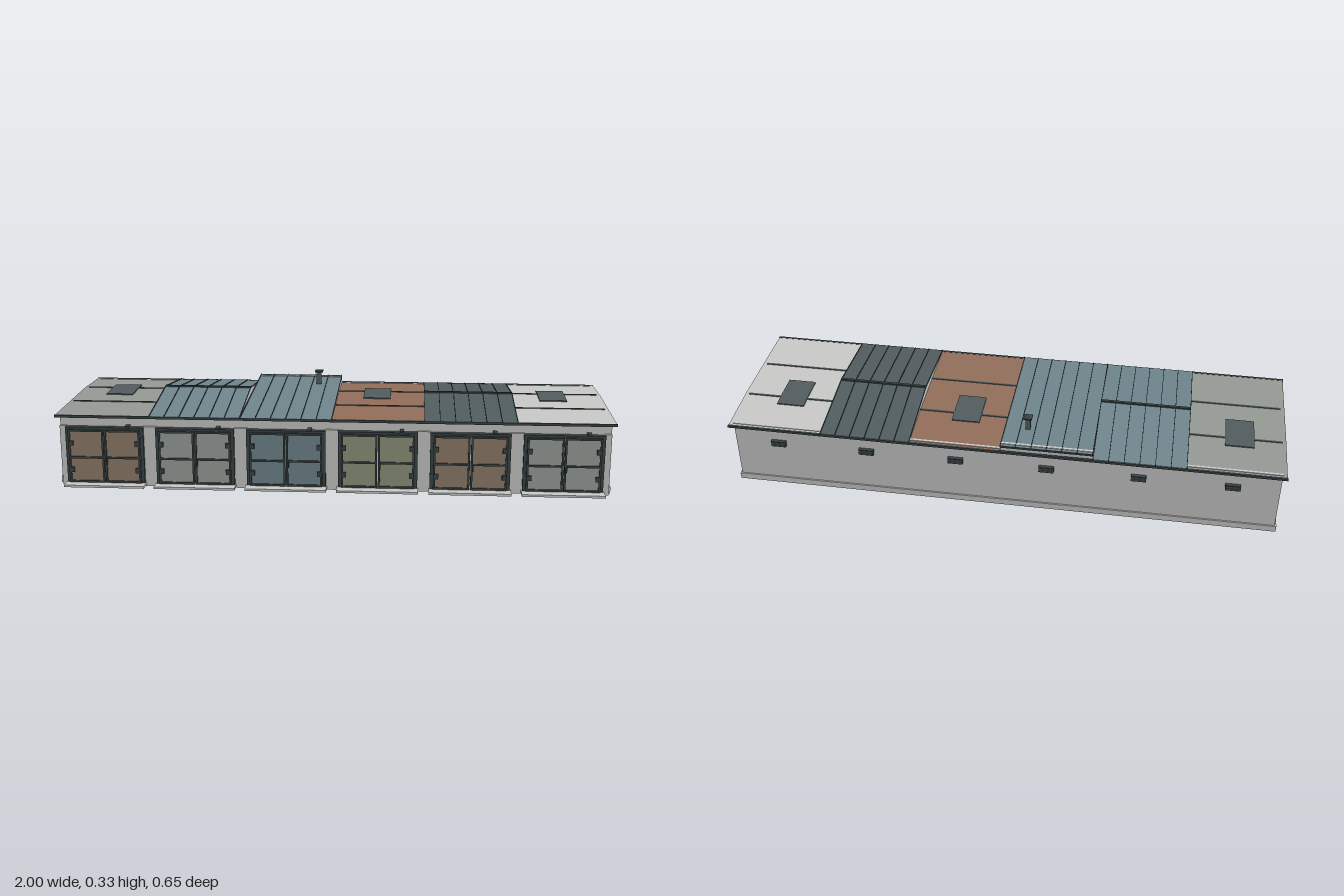
import * as THREE from 'three';

const mat = (name, color) => {
  const m = new THREE.MeshStandardMaterial({ color });
  m.name = name;
  return m;
};

export function createModel() {
  const M = {
    wall: mat('pale concrete', 0xc9c9c8),
    dark: mat('dark trim', 0x3a4446),
    slate: mat('slate metal', 0x525d5f),
    grey: mat('grey sheet', 0x959a95),
    blue: mat('blue sheet', 0x70868d),
    rust: mat('rust sheet', 0x936e5b),
    brown: mat('brown door paint', 0x917c6c),
    pale: mat('grey door paint', 0x9ba09b),
    green: mat('green door paint', 0x8e957c),
  };
  const root = new THREE.Group();
  root.name = 'garageRow';

  const add = (parent, name, geo, material) => {
    const m = new THREE.Mesh(geo, material);
    m.name = name;
    parent.add(m);
    return m;
  };
  // box given by its limits on each axis
  const box = (parent, name, material, x0, x1, y0, y1, z0, z1) => {
    const g = new THREE.BoxGeometry(x1 - x0, y1 - y0, z1 - z0);
    g.translate((x0 + x1) / 2, (y0 + y1) / 2, (z0 + z1) / 2);
    return add(parent, name, g, material);
  };
  // outline of [z, y] points swept along x
  const sweep = (parent, name, material, pts, x0, x1) => {
    const s = new THREE.Shape(pts.map(([z, y]) => new THREE.Vector2(-z, y)));
    const g = new THREE.ExtrudeGeometry(s, { depth: x1 - x0, bevelEnabled: false });
    g.rotateY(Math.PI / 2);
    g.translate(x0, 0, 0);
    return add(parent, name, g, material);
  };
  // sheet following a roof line, between two offsets from it
  const sheet = (parent, name, material, line, x0, x1, low, high) =>
    sweep(parent, name, material, [
      ...line.map(([z, y]) => [z, y + high]),
      ...[...line].reverse().map(([z, y]) => [z, y + low]),
    ], x0, x1);
  // height of a roof line at z
  const heightAt = (line, z) => {
    for (let i = 1; i < line.length; i++) {
      const [za, ya] = line[i - 1], [zb, yb] = line[i];
      if (z <= za && z >= zb) return ya + (yb - ya) * (za - z) / (za - zb);
    }
    return line[0][1];
  };

  const PITCH = 0.328, HALF = 0.984, FRONT = 0.262, BACK = -0.303;

  // main body
  box(root, 'body', M.wall, -HALF, HALF, 0.005, 0.25, BACK, FRONT);
  box(root, 'plinth', M.wall, -0.99, 0.99, 0.006, 0.03, -0.308, 0.267);
  box(root, 'frontEave', M.dark, -1, 1, 0.254, 0.263, 0.273, 0.282);
  box(root, 'backEave', M.dark, -1, 1, 0.254, 0.263, -0.325, -0.317);

  // pilasters between the doors
  for (let i = 0; i <= 6; i++) {
    const x = -HALF + i * PITCH;
    const a = Math.max(x - 0.024, -HALF), b = Math.min(x + 0.024, HALF);
    box(root, 'pilaster', M.wall, a, b, 0, 0.223, FRONT, 0.273);
  }

  // roof lines, front to back
  const flat = [[0.28, 0.262], [-0.12, 0.269], [-0.322, 0.262]];
  const gable = (ridge) => [[0.28, 0.263], [-0.022, ridge], [-0.322, 0.262]];
  const shed = [[0.28, 0.263], [-0.322, 0.287]];

  const bays = [
    { door: M.brown, roof: M.grey, line: flat, kind: 'flat' },
    { door: M.pale, roof: M.blue, line: gable(0.303), kind: 'gable' },
    { door: M.blue, roof: M.blue, line: shed, kind: 'shed' },
    { door: M.green, roof: M.rust, line: flat, kind: 'flat' },
    { door: M.brown, roof: M.slate, line: gable(0.295), kind: 'gable' },
    { door: M.pale, roof: M.wall, line: flat, kind: 'flat' },
  ];

  const buildDoor = (paint) => {
    const g = new THREE.Group();
    g.name = 'door';
    box(g, 'apron', M.wall, -0.146, 0.146, 0.006, 0.014, 0.26, 0.325);
    // fixed frame
    for (const s of [-1, 1]) {
      const jamb = box(g, 'jamb', M.dark, -0.006, 0.006, 0.014, 0.219, 0.262, 0.283);
      jamb.position.x = s * 0.136;
    }
    box(g, 'lintel', M.dark, -0.142, 0.142, 0.211, 0.22, 0.262, 0.283);
    // two leaves with rails, hinges and handle
    for (const s of [-1, 1]) {
      const leaf = new THREE.Group();
      leaf.name = 'leaf';
      leaf.position.x = s * 0.066;
      g.add(leaf);
      box(leaf, 'panel', paint, -0.064, 0.064, 0.016, 0.212, 0.274, 0.289);
      for (const y of [0.016, 0.106, 0.206])
        box(leaf, 'rail', M.dark, -0.064, 0.064, y, y + 0.007, 0.287, 0.294);
      for (const x of [-0.061, 0.061])
        box(leaf, 'stile', M.dark, x - 0.0035, x + 0.0035, 0.016, 0.213, 0.287, 0.294);
      for (const y of [0.055, 0.154]) {
        const hinge = box(leaf, 'hinge', M.dark, -0.009, 0.009, y, y + 0.018, 0.287, 0.297);
        hinge.position.x = s * 0.055;
      }
    }
    box(g, 'handle', M.dark, 0.006, 0.011, 0.086, 0.11, 0.29, 0.299);
    box(g, 'lampArm', M.dark, 0.078, 0.092, 0.222, 0.228, 0.262, 0.294);
    return g;
  };

  bays.forEach((bay, i) => {
    const cx = (i - 2.5) * PITCH, x0 = cx - PITCH / 2, x1 = cx + PITCH / 2;
    const r0 = i === 0 ? -0.998 : x0, r1 = i === 5 ? 0.998 : x1;
    const { line, roof, kind } = bay;

    const door = buildDoor(bay.door);
    door.position.x = cx;
    root.add(door);

    // back vent
    box(root, 'ventFrame', M.dark, cx - 0.027, cx + 0.027, 0.18, 0.202, -0.316, BACK);
    for (const y of [0.185, 0.194])
      box(root, 'ventSlat', M.slate, cx - 0.022, cx + 0.022, y, y + 0.004, -0.318, -0.314);

    // wall under the roof
    const top = (z) => [z, heightAt(line, z) - 0.004];
    const under = [[FRONT, 0.249], top(FRONT)];
    if (line.length === 3) under.push(top(line[1][0]));
    under.push(top(BACK), [BACK, 0.249]);
    sweep(root, 'upperWall', M.wall, under, x0, x1);

    sheet(root, 'roof', roof, line, r0, r1, -0.005, 0);

    // pale coping on the back wall
    if (kind !== 'gable') {
      const y = heightAt(line, -0.304);
      box(root, 'backCoping', M.wall, x0, x1, y - 0.003, y + 0.002, -0.309, -0.299);
    }

    if (kind === 'flat') {
      // cross battens and a roof hatch
      for (const z of [0.08, -0.128]) {
        const y = heightAt(line, z);
        box(root, 'batten', M.slate, x0, x1, y - 0.002, y + 0.0025, z - 0.004, z + 0.004);
      }
      const hx = i === 0 ? -0.835 : i === 3 ? 0.15 : 0.81;
      sheet(root, 'skylight', M.slate,
        [-0.02, -0.12, -0.175].map((z) => [z, heightAt(line, z)]),
        hx - 0.051, hx + 0.051, -0.001, 0.004);
    } else {
      // standing seams
      for (let k = 0; k <= 6; k++) {
        const x = x0 + 0.001 + k * (PITCH - 0.002) / 6;
        sheet(root, 'seam', M.dark, line, x - 0.001, x + 0.001, -0.001, 0.004);
      }
    }
    if (kind === 'gable') {
      const y = line[1][1];
      box(root, 'ridgeCap', M.dark, x0, x1, y - 0.006, y + 0.005, -0.027, -0.017);
    }
    if (kind === 'shed')
      box(root, 'shedEave', M.dark, x0, x1, 0.281, 0.288, -0.325, -0.321);
  });

  // chimney
  box(root, 'chimneyPipe', M.slate, -0.092, -0.074, 0.27, 0.331, -0.208, -0.191);
  box(root, 'chimneyCap', M.dark, -0.098, -0.068, 0.329, 0.334, -0.215, -0.185);

  return root;
}
